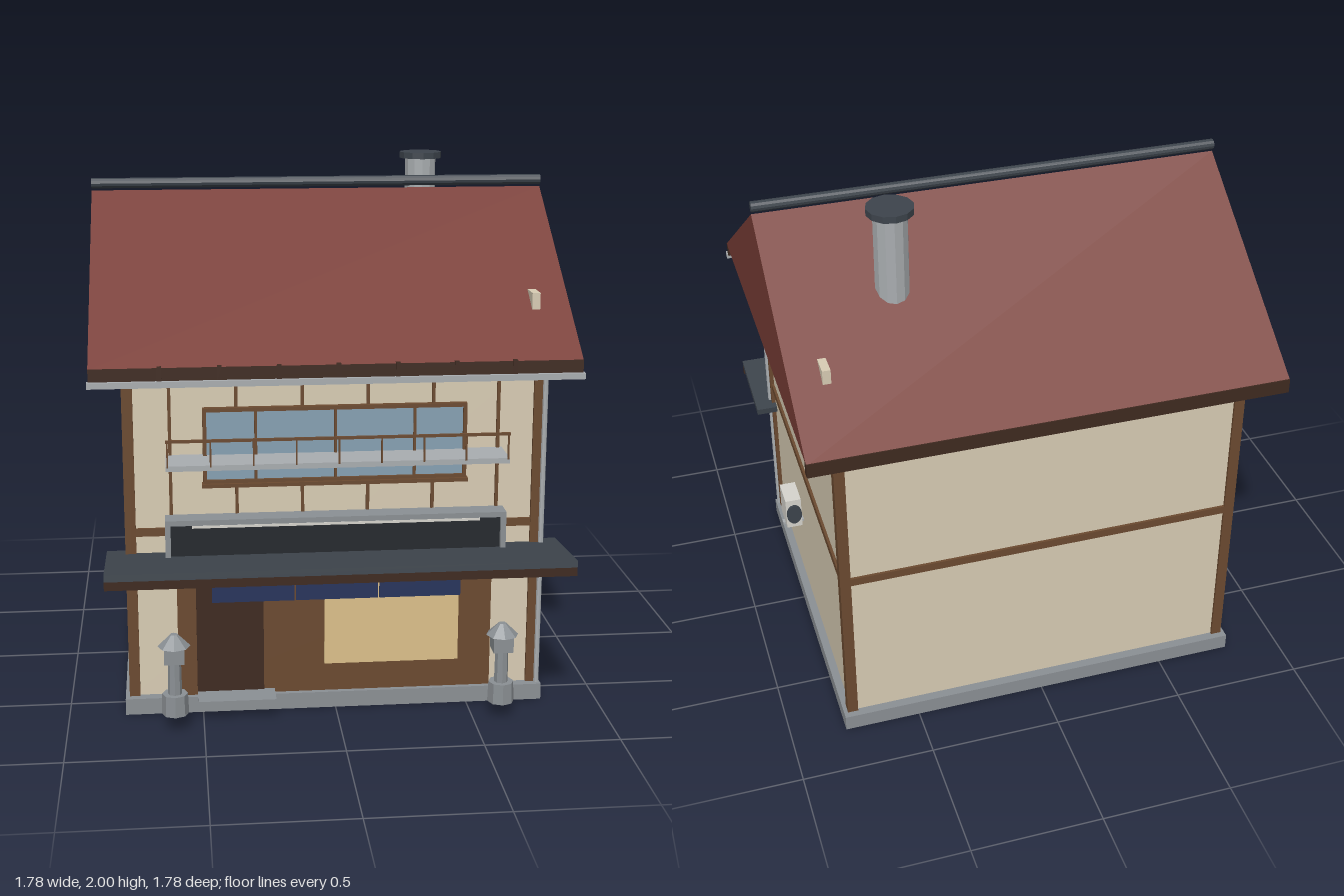
import * as THREE from 'three';

const mat = (color) => new THREE.MeshStandardMaterial({ color, flatShading: true });
const M = {
  plaster: mat(0xd8ccb4), wood: mat(0x6b4a30), darkWood: mat(0x3f2a20), roof: mat(0x783c35),
  slate: mat(0x3d444c), stone: mat(0x8b9094), metal: mat(0xa9adb0), glass: mat(0x86a0b2),
  sign: mat(0x24282d), navy: mat(0x27345c), glow: mat(0xdcc08a), white: mat(0xd6d4cd),
};

export function createModel() {
  const root = new THREE.Group();

  const add = (name, geo, material, x = 0, y = 0, z = 0, parent = root) => {
    const mesh = new THREE.Mesh(geo, material);
    mesh.name = name;
    mesh.position.set(x, y, z);
    parent.add(mesh);
    return mesh;
  };
  // Box given by its limits on each axis
  const box = (name, material, [x0, x1], [y0, y1], [z0, z1], parent = root) =>
    add(name, new THREE.BoxGeometry(x1 - x0, y1 - y0, z1 - z0), material,
      (x0 + x1) / 2, (y0 + y1) / 2, (z0 + z1) / 2, parent);
  // Upright cylinder or frustum
  const cyl = (name, material, r0, r1, [y0, y1], x, z, sides, parent = root) =>
    add(name, new THREE.CylinderGeometry(r1, r0, y1 - y0, sides), material, x, (y0 + y1) / 2, z, parent);
  // Horizontal cylinder along x
  const rod = (name, material, r, length, x, y, z, sides = 8) => {
    const m = add(name, new THREE.CylinderGeometry(r, r, length, sides), material, x, y, z);
    m.rotation.z = Math.PI / 2;
    return m;
  };
  // Rectangular frame of four bars
  const frame = (name, material, [x0, x1], [y0, y1], z, t) => {
    const g = new THREE.Group();
    g.name = name;
    root.add(g);
    box('bottomBar', material, [x0, x1], [y0, y0 + t], z, g);
    box('topBar', material, [x0, x1], [y1 - t, y1], z, g);
    box('leftBar', material, [x1 - t, x1], [y0 + t, y1 - t], z, g);
    box('rightBar', material, [x0, x0 + t], [y0 + t, y1 - t], z, g);
  };

  // Foundation and walls
  box('foundation', M.stone, [-0.79, 0.79], [0, 0.062], [-0.8, 0.62]);
  box('walls', M.plaster, [-0.76, 0.76], [0.062, 1.345], [-0.765, 0.58]);
  box('wallHead', M.plaster, [-0.77, 0.77], [1.28, 1.338], [0.57, 0.605]);
  box('gablePanel', M.plaster, [0.74, 0.77], [1.345, 1.555], [-0.66, 0.49]);

  // Timber frame
  for (const s of [-1, 1]) {
    for (const z of [[0.565, 0.592], [-0.775, -0.735]])
      box('cornerPost', M.wood, s < 0 ? [-0.775, -0.735] : [0.735, 0.775], [0.062, 1.335], z);
    box('sideBeam', M.wood, s < 0 ? [-0.77, -0.75] : [0.75, 0.77], [0.687, 0.718], [-0.76, 0.57]);
  }
  box('frontBeam', M.wood, [-0.75, 0.75], [0.69, 0.72], [0.57, 0.59]);
  box('backBeam', M.wood, [-0.75, 0.75], [0.687, 0.718], [-0.775, -0.755]);
  for (let i = 0; i < 6; i++) {
    const x = -0.604 + i * 0.2415;
    box('wallBatten', M.wood, [x - 0.006, x + 0.006], [0.69, 1.28], [0.575, 0.59]);
  }

  // Roof prism
  const profile = new THREE.Shape([
    new THREE.Vector2(-0.71, 1.345), new THREE.Vector2(0.89, 1.345), new THREE.Vector2(0.09, 1.885)]);
  const roofGeo = new THREE.ExtrudeGeometry(profile, { depth: 1.77, bevelEnabled: false });
  roofGeo.translate(0, 0, -0.885).rotateY(Math.PI / 2).scale(1, 1, 1);
  add('roof', roofGeo, M.roof);
  rod('ridge', M.slate, 0.02, 1.77, 0, 1.913, -0.088, 12);
  box('frontFascia', M.darkWood, [-0.885, 0.885], [1.3, 1.348], [0.685, 0.71]);
  box('backFascia', M.darkWood, [-0.885, 0.885], [1.293, 1.348], [-0.89, -0.86]);
  box('gutter', M.metal, [-0.89, 0.89], [1.28, 1.302], [0.7, 0.726]);
  for (let i = -3; i <= 3; i++)
    box('gutterBracket', M.darkWood, [i * 0.212 - 0.008, i * 0.212 + 0.008], [1.3, 1.353], [0.69, 0.714]);
  cyl('downpipe', M.metal, 0.01, 0.01, [0.062, 1.335], 0.776, 0.595, 8);

  // Chimney
  cyl('chimney', M.metal, 0.063, 0.063, [1.45, 1.98], 0.45, -0.385, 12);
  cyl('chimneyCap', M.slate, 0.086, 0.086, [1.975, 2], 0.45, -0.385, 12);

  // Upper window
  box('upperGlass', M.glass, [-0.475, 0.475], [0.895, 1.16], [0.58, 0.592]);
  frame('upperWindowFrame', M.wood, [-0.485, 0.485], [0.888, 1.172], [0.58, 0.604], 0.014);
  for (const x of [-0.292, 0, 0.292])
    box('mullion', M.wood, [x - 0.005, x + 0.005], [0.9, 1.16], [0.585, 0.601]);
  box('windowSill', M.wood, [-0.49, 0.49], [0.876, 0.89], [0.58, 0.615]);

  // Balcony
  box('balconyFloor', M.metal, [-0.62, 0.62], [0.976, 0.996], [0.58, 0.735]);
  box('balconyRail', M.wood, [-0.62, 0.62], [1.081, 1.091], [0.728, 0.738]);
  for (let i = -4; i <= 4; i++)
    box('balconyPost', M.wood, [i * 0.1535 - 0.003, i * 0.1535 + 0.003], [0.99, 1.085], [0.73, 0.736]);

  // Blank sign panel in a frame
  box('signPanel', M.sign, [-0.61, 0.61], [0.55, 0.75], [0.585, 0.648]);
  frame('signFrame', M.stone, [-0.628, 0.628], [0.532, 0.77], [0.585, 0.665], 0.02);
  box('signLamp', M.white, [-0.53, 0.53], [0.738, 0.748], [0.645, 0.66]);

  // Awning
  const awning = add('awning', new THREE.BoxGeometry(1.69, 0.026, 0.355), M.slate, 0, 0.622, 0.711);
  awning.rotation.x = -0.087;
  box('awningFascia', M.darkWood, [-0.845, 0.845], [0.592, 0.628], [0.872, 0.888]);

  // Shopfront
  box('shopfront', M.wood, [-0.59, 0.59], [0.064, 0.535], [0.575, 0.605]);
  box('door', M.darkWood, [-0.52, -0.27], [0.08, 0.515], [0.59, 0.613]);
  box('shopWindow', M.glow, [-0.042, 0.465], [0.175, 0.5], [0.59, 0.615]);
  box('doorStep', M.stone, [-0.52, -0.23], [0.062, 0.08], [0.6, 0.71]);
  for (let i = -1; i <= 1; i++)
    box('doorCurtain', M.navy, [i * 0.31 - 0.152, i * 0.31 + 0.152], [0.45, 0.56], [0.656, 0.662]);
  rod('curtainRod', M.wood, 0.006, 0.96, 0, 0.555, 0.659);

  // Stone lanterns
  for (const x of [-0.605, 0.605]) {
    const g = new THREE.Group();
    g.name = 'lantern';
    root.add(g);
    cyl('lanternBase', M.stone, 0.05, 0.047, [0.062, 0.14], x, 0.755, 8, g);
    cyl('lanternColumn', M.stone, 0.026, 0.024, [0.14, 0.268], x, 0.755, 8, g);
    box('lanternHead', M.stone, [x - 0.037, x + 0.037], [0.265, 0.33], [0.718, 0.792], g);
    cyl('lanternCap', M.stone, 0.06, 0.014, [0.325, 0.37], x, 0.755, 8, g);
  }

  // Air unit on the side wall
  box('airUnit', M.white, [0.775, 0.838], [0.397, 0.53], [-0.015, 0.105]);
  const fan = add('airUnitFan', new THREE.CylinderGeometry(0.044, 0.044, 0.012, 16), M.slate, 0.806, 0.463, -0.018);
  fan.rotation.x = Math.PI / 2;
  fan.scale.x = 0.7;
  box('airUnitBracket', M.metal, [0.76, 0.846], [0.377, 0.387], [0.036, 0.058]);

  return root;
}
